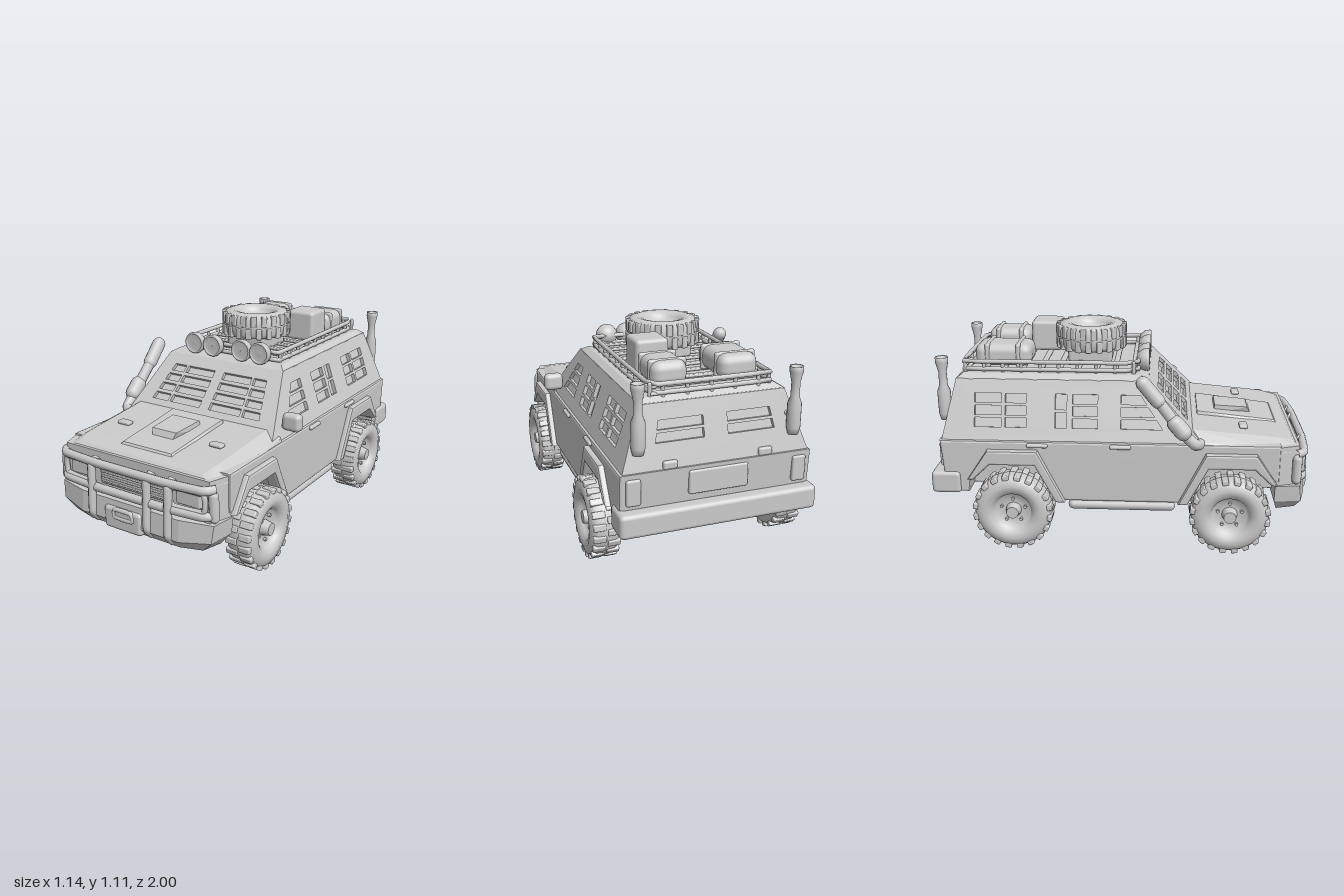
import * as THREE from 'three';
import { RoundedBoxGeometry } from 'three/addons/geometries/RoundedBoxGeometry.js';
import { ConvexGeometry } from 'three/addons/geometries/ConvexGeometry.js';

const mat = new THREE.MeshStandardMaterial({ color: 0xcccccc, roughness: 0.8 });
const V = (x, y, z) => new THREE.Vector3(x, y, z);

function add(parent, name, geo, x = 0, y = 0, z = 0) {
  const m = new THREE.Mesh(geo, mat);
  m.name = name;
  m.position.set(x, y, z);
  parent.add(m);
  return m;
}
const box = (p, name, w, h, d, x, y, z, r = 0.01) =>
  add(p, name, new RoundedBoxGeometry(w, h, d, 2, Math.min(r, w / 2.1, h / 2.1, d / 2.1)), x, y, z);

// Smooth tube through points
function tube(p, name, pts, r, closed = false, tension = 0.2) {
  const c = new THREE.CatmullRomCurve3(pts.map(a => V(...a)), closed, 'catmullrom', tension);
  return add(p, name, new THREE.TubeGeometry(c, pts.length * 8, r, 10, closed));
}
// Straight rod with rounded ends
function rod(p, name, a, b, r) {
  const A = V(...a), B = V(...b), d = B.clone().sub(A);
  const m = add(p, name, new THREE.CapsuleGeometry(r, d.length(), 4, 12));
  m.position.copy(A).lerp(B, 0.5);
  m.quaternion.setFromUnitVectors(V(0, 1, 0), d.normalize());
  return m;
}
// Convex solid from half-width points mirrored across x
const hull = (p, name, pts) =>
  add(p, name, new ConvexGeometry(pts.flatMap(([x, y, z]) => [V(x, y, z), V(-x, y, z)])));

// Side profile (z, y) extruded across x from x0 to x1
function sideExtrude(p, name, pts, x0, x1, bevel = 0) {
  const g = new THREE.ExtrudeGeometry(new THREE.Shape(pts.map(([z, y]) => new THREE.Vector2(-z, y))), {
    depth: x1 - x0 - 2 * bevel, bevelEnabled: bevel > 0, bevelSize: bevel, bevelThickness: bevel, bevelOffset: -bevel, bevelSegments: 2 });
  g.rotateY(Math.PI / 2);
  return add(p, name, g, x0 + bevel, 0, 0);
}

// Rows of louvre openings between two slanted edges (coordinates across, height)
function louvres(bl, tl, br, tr, y0, y1, rows, gap = 0.014) {
  const cells = [], h = (y1 - y0 + gap) / rows;
  const at = (b, t, y) => b + (t - b) * (y - y0) / (y1 - y0);
  for (let i = 0; i < rows; i++) {
    const a = y0 + i * h, b = a + h - gap;
    cells.push([[at(bl, tl, a), a], [at(br, tr, a), a], [at(br, tr, b), b], [at(bl, tl, b), b]]);
  }
  return cells;
}
// Slanted cabin wall with openings, standing on the belt line
const BELT = 0.58, ROOF = 0.88;
function panel(p, name, o, u, v, outline, holes) {
  const to = ([a, y]) => new THREE.Vector2(a, y - BELT);
  const s = new THREE.Shape(outline.map(to));
  s.holes = holes.map(h => new THREE.Path(h.map(to)));
  const g = new THREE.ExtrudeGeometry(s, { depth: 0.02, bevelEnabled: false }).translate(0, 0, -0.02);
  const n = u.clone().cross(v).normalize();
  g.applyMatrix4(new THREE.Matrix4().makeBasis(u, v.clone().divideScalar(ROOF - BELT), n).setPosition(o));
  return add(p, name, g);
}

// Wheel with its axis on y and its outer face at +y
function wheel(lugs) {
  const w = new THREE.Group();
  const prof = [[0.001, -0.05], [0.1, -0.05], [0.115, -0.066], [0.15, -0.074], [0.185, -0.066], [0.2, -0.045], [0.203, 0],
    [0.2, 0.045], [0.185, 0.066], [0.15, 0.077], [0.12, 0.07], [0.1, 0.052], [0.09, 0.03], [0.05, 0.025], [0.001, 0.025]];
  add(w, 'tire', new THREE.LatheGeometry(prof.map(a => new THREE.Vector2(...a)), 40));
  if (lugs) {
    add(w, 'hubCap', new THREE.CylinderGeometry(0.032, 0.042, 0.05, 16), 0, 0.045, 0);
    for (let i = 0; i < 5; i++) {
      const a = i * Math.PI * 0.4;
      add(w, 'wheelNut', new THREE.CylinderGeometry(0.009, 0.009, 0.02, 6), 0.065 * Math.cos(a), 0.032, 0.065 * Math.sin(a));
    }
  }
  for (let i = 0; i < 40; i++) {
    const a = i * Math.PI / 20, side = i % 2 ? 1 : -1;
    const l = box(w, 'treadLug', 0.028, 0.064, 0.034, 0.195 * Math.cos(a), side * 0.036, 0.195 * Math.sin(a), 0.006);
    l.rotation.y = -a;
  }
  return w;
}

export function createModel() {
  const g = new THREE.Group();
  g.name = 'armouredOffRoader';
  const sides = [1, -1];

  // Lower body with trapezoid wheel arches, and the inner wheel-well block
  sideExtrude(g, 'lowerBody', [[0.82, 0.58], [0.82, 0.38], [0.79, 0.38], [0.7, 0.45], [0.45, 0.45], [0.33, 0.25], [-0.32, 0.25],
    [-0.44, 0.45], [-0.69, 0.45], [-0.79, 0.36], [-0.8, 0.29], [-0.92, 0.29], [-0.94, 0.58]], -0.485, 0.485, 0.012);
  box(g, 'floorBlock', 0.72, 0.25, 1.7, 0, 0.415, -0.02);
  // Nose and bonnet
  hull(g, 'nose', [[0.483, 0.57, 0.8], [0.483, 0.36, 0.8], [0.44, 0.57, 0.92], [0.44, 0.3, 0.92], [0.42, 0.3, 0.8]]);
  hull(g, 'bonnet', [[0.485, 0.56, 0.34], [0.475, 0.595, 0.34], [0.41, 0.64, 0.34], [0.485, 0.54, 0.8], [0.465, 0.565, 0.8],
    [0.4, 0.6, 0.8], [0.44, 0.54, 0.92], [0.43, 0.56, 0.915], [0.38, 0.582, 0.89]]);
  hull(g, 'bonnetPanel', [[0.16, 0.652, 0.4], [0.175, 0.6, 0.4], [0.15, 0.605, 0.82], [0.17, 0.58, 0.84]]);
  hull(g, 'bonnetScoop', [[0.085, 0.662, 0.5], [0.09, 0.61, 0.49], [0.075, 0.65, 0.68], [0.06, 0.61, 0.7]]);
  for (const s of sides) box(g, 'bonnetVent', 0.075, 0.02, 0.045, s * 0.29, 0.622, 0.64);

  // Cabin: dark core seen through louvres, four walls and roof
  hull(g, 'cabinGlass', [[0.45, 0.57, 0.4], [0.345, 0.875, 0.12], [0.45, 0.57, -0.91], [0.345, 0.875, -0.84]]);
  for (const s of sides) {
    const f = pts => pts.map(([z, y]) => [-s * z, y]);
    const holes = [...louvres(0.215, 0.1, 0, 0, 0.645, 0.81, 3), ...louvres(-0.12, -0.12, -0.25, -0.25, 0.645, 0.81, 3),
      ...louvres(-0.28, -0.28, -0.34, -0.34, 0.645, 0.81, 2), ...louvres(-0.49, -0.49, -0.6, -0.6, 0.645, 0.81, 3),
      ...louvres(-0.62, -0.62, -0.76, -0.76, 0.645, 0.81, 3)];
    panel(g, 'cabinSide', V(s * 0.47, BELT, 0), V(0, 0, -s), V(-s * 0.105, 0.3, 0),
      f([[0.425, BELT], [0.14, ROOF], [-0.86, ROOF], [-0.93, BELT]]), holes.map(f));
  }
  const flip = h => h.map(([a, y]) => [-a, y]);
  const wind = [...louvres(0.03, 0.03, 0.225, 0.205, 0.665, 0.83, 4), ...louvres(0.24, 0.22, 0.345, 0.295, 0.665, 0.83, 4)];
  panel(g, 'windscreen', V(0, BELT, 0.425), V(1, 0, 0), V(0, 0.3, -0.285),
    [[-0.47, BELT], [0.47, BELT], [0.365, ROOF], [-0.365, ROOF]], [...wind, ...wind.map(flip)]);
  const rear = louvres(0.06, 0.06, 0.3, 0.28, 0.7, 0.8, 2);
  panel(g, 'cabinRear', V(0, BELT, -0.93), V(-1, 0, 0), V(0, 0.3, 0.07),
    [[-0.47, BELT], [0.47, BELT], [0.365, ROOF], [-0.365, ROOF]], [...rear, ...rear.map(flip)]);
  hull(g, 'roof', [[0.366, 0.878, 0.142], [0.366, 0.878, -0.862], [0.33, 0.9, 0.1], [0.33, 0.9, -0.83]]);

  // Side trim, arch flares, steps, mirror and tail pipes
  const flare = [[0.81, 0.37], [0.7, 0.535], [0.44, 0.535], [0.3, 0.25], [0.35, 0.25], [0.455, 0.455], [0.69, 0.455], [0.78, 0.37]];
  for (const s of sides) {
    for (const pts of [flare, flare.map(([z, y]) => [0.01 - z, y])])
      sideExtrude(g, 'archFlare', pts, s > 0 ? 0.44 : -0.515, s > 0 ? 0.515 : -0.44, 0.012);
    for (const z of [0, -0.43]) box(g, 'doorHandle', 0.025, 0.022, 0.11, s * 0.487, 0.56, z);
    rod(g, 'sideStep', [s * 0.45, 0.22, 0.26], [s * 0.45, 0.22, -0.25], 0.028);
    for (const z of [0.18, -0.17]) rod(g, 'stepBracket', [s * 0.45, 0.22, z], [s * 0.3, 0.26, z], 0.015);
    const stack = [[0.001, 0.66], [0.026, 0.665], [0.034, 0.7], [0.034, 0.82], [0.022, 0.85], [0.021, 0.92], [0.033, 0.975], [0.033, 1], [0.024, 0.998], [0.001, 0.98]];
    add(g, 'rearStack', new THREE.LatheGeometry(stack.map(a => new THREE.Vector2(...a)), 18), s * 0.39, 0, -0.92);
    rod(g, 'stackBracket', [s * 0.39, 0.76, -0.92], [s * 0.36, 0.76, -0.86], 0.015);
    box(g, 'tailLight', 0.07, 0.13, 0.03, s * 0.42, 0.49, -0.935);
  }
  box(g, 'mirror', 0.105, 0.095, 0.06, 0.498, 0.665, 0.265, 0.025);
  rod(g, 'mirrorArm', [0.42, 0.63, 0.28], [0.48, 0.645, 0.27], 0.015);

  // Air intake on the right-hand windscreen pillar
  tube(g, 'intakePipe', [[-0.44, 0.57, 0.42], [-0.5, 0.59, 0.38], [-0.5, 0.66, 0.31], [-0.48, 0.8, 0.2], [-0.475, 0.86, 0.15]], 0.03);
  rod(g, 'intakeFilter', [-0.505, 0.655, 0.32], [-0.5, 0.7, 0.28], 0.044);
  rod(g, 'intakeHead', [-0.48, 0.81, 0.19], [-0.475, 0.9, 0.115], 0.038);

  // Front bumper, grille, headlights, bull bar and winch
  hull(g, 'frontBumper', [[0.49, 0.36, 0.8], [0.48, 0.27, 0.8], [0.43, 0.21, 0.82], [0.47, 0.36, 0.93], [0.46, 0.27, 0.94],
    [0.4, 0.21, 0.92], [0.3, 0.36, 0.97], [0.3, 0.25, 0.98], [0.28, 0.2, 0.94]]);
  box(g, 'grille', 0.42, 0.11, 0.03, 0, 0.465, 0.92);
  for (let i = 0; i < 4; i++) box(g, 'grilleSlat', 0.4, 0.01, 0.02, 0, 0.43 + i * 0.024, 0.933, 0.004);
  for (const s of sides) {
    box(g, 'headlight', 0.14, 0.08, 0.03, s * 0.33, 0.465, 0.925, 0.012);
    tube(g, 'headlightGuard', [[0.25, 0.42, 0.955], [0.42, 0.42, 0.94], [0.42, 0.51, 0.94], [0.25, 0.51, 0.955]]
      .map(([x, y, z]) => [s * x, y, z]), 0.014, true);
    rod(g, 'bullBarEnd', [s * 0.46, 0.39, 0.91], [s * 0.455, 0.5, 0.91], 0.025);
  }
  for (const y of [0.4, 0.53])
    tube(g, 'bullBarRail', [[-0.46, y, 0.9], [-0.42, y, 0.945], [-0.2, y, 0.965], [0.2, y, 0.965], [0.42, y, 0.945], [0.46, y, 0.9]], 0.022);
  for (const x of [-0.23, 0.115, 0.24])
    tube(g, 'bullBarUpright', [[x, 0.54, 0.93], [x, 0.51, 0.97], [x, 0.4, 0.975], [x, 0.27, 0.98], [x, 0.22, 0.94]], 0.021);
  box(g, 'winch', 0.23, 0.12, 0.06, -0.035, 0.27, 0.96, 0.02);
  tube(g, 'winchHook', [[-0.08, 0.32, 0.985], [0.02, 0.32, 0.985], [0.03, 0.28, 0.985], [-0.08, 0.28, 0.985]], 0.012, true);

  // Rear bumper and tailgate relief
  box(g, 'rearBumper', 1, 0.12, 0.08, 0, 0.345, -0.955, 0.022);
  for (const s of sides) box(g, 'rearBumperEnd', 0.05, 0.12, 0.14, s * 0.475, 0.345, -0.91, 0.02);
  box(g, 'tailgatePanel', 0.3, 0.12, 0.025, 0, 0.5, -0.935);
  for (const s of sides) box(g, 'tailgateHinge', 0.07, 0.04, 0.025, s * 0.24, 0.6, -0.93);

  // Roof rack
  for (const y of [0.915, 0.955])
    tube(g, 'rackRail', [[0.3, y, 0.08], [0.3, y, -0.83], [-0.3, y, -0.83], [-0.3, y, 0.08]], 0.012, true, 0.02);
  for (let i = 0; i < 10; i++) {
    const z = 0.06 - i * 0.098;
    for (const s of sides) rod(g, 'rackPost', [s * 0.3, 0.89, z], [s * 0.3, 0.955, z], 0.01);
    box(g, 'rackSlat', 0.6, 0.015, 0.03, 0, 0.91, z, 0.006);
  }
  for (let i = 0; i < 5; i++) rod(g, 'rackEndPost', [-0.24 + i * 0.12, 0.89, -0.83], [-0.24 + i * 0.12, 0.955, -0.83], 0.01);

  // Roof lamps, spare wheel and luggage
  const lamp = [[0.001, -0.035], [0.035, -0.03], [0.056, 0], [0.06, 0.025], [0.058, 0.035], [0.048, 0.035], [0.046, 0.026], [0.001, 0.03]];
  for (const x of [-0.205, -0.085, 0.1, 0.215]) {
    add(g, 'roofLamp', new THREE.LatheGeometry(lamp.map(a => new THREE.Vector2(...a)), 24), x, 0.95, 0.105).rotation.x = Math.PI / 2;
    rod(g, 'lampFoot', [x, 0.88, 0.1], [x, 0.92, 0.1], 0.014);
  }
  const spare = wheel(false);
  spare.name = 'spareWheel';
  spare.position.set(0, 1.037, -0.185);
  spare.scale.set(0.93, 0.95, 0.93);
  g.add(spare);
  box(g, 'spareMount', 0.24, 0.1, 0.24, 0, 0.95, -0.185, 0.02);
  box(g, 'cargoBox', 0.17, 0.17, 0.17, 0.18, 0.995, -0.45, 0.02);
  for (const [x, z, w, d] of [[-0.17, -0.63, 0.2, 0.3], [0.18, -0.66, 0.18, 0.24]]) {
    box(g, 'dufflebag', w, 0.12, d, x, 0.975, z, 0.045);
    for (const k of [-0.27, 0.27]) box(g, 'bagStrap', w + 0.01, 0.13, 0.025, x, 0.975, z + k * d, 0.012);
  }

  // Running gear
  for (const z of [0.57, -0.56]) {
    for (const s of sides) {
      const w = wheel(true);
      w.name = 'wheel';
      w.rotation.z = -s * Math.PI / 2;
      w.position.set(s * 0.492, 0.21, z);
      g.add(w);
      rod(g, 'shockAbsorber', [s * 0.3, 0.2, z - 0.05], [s * 0.28, 0.33, z - 0.05], 0.022);
      rod(g, 'leafSpring', [s * 0.25, 0.24, z + 0.17], [s * 0.25, 0.24, z - 0.17], 0.018);
    }
    rod(g, 'axle', [-0.42, 0.21, z], [0.42, 0.21, z], 0.032);
    add(g, 'differential', new THREE.SphereGeometry(0.06, 16, 12), 0, 0.22, z);
  }
  for (const s of sides) box(g, 'frameRail', 0.05, 0.06, 1.7, s * 0.19, 0.265, -0.02);
  for (let i = 0; i < 6; i++) box(g, 'crossMember', 0.6, 0.04, 0.04, 0, 0.27, 0.75 - i * 0.3);
  rod(g, 'driveShaft', [0, 0.22, 0.5], [0, 0.22, -0.5], 0.02);
  box(g, 'gearbox', 0.16, 0.1, 0.26, 0, 0.25, 0.12, 0.03);
  rod(g, 'exhaustPipe', [0.1, 0.245, 0.4], [0.1, 0.245, -0.85], 0.018);
  return g;
}
